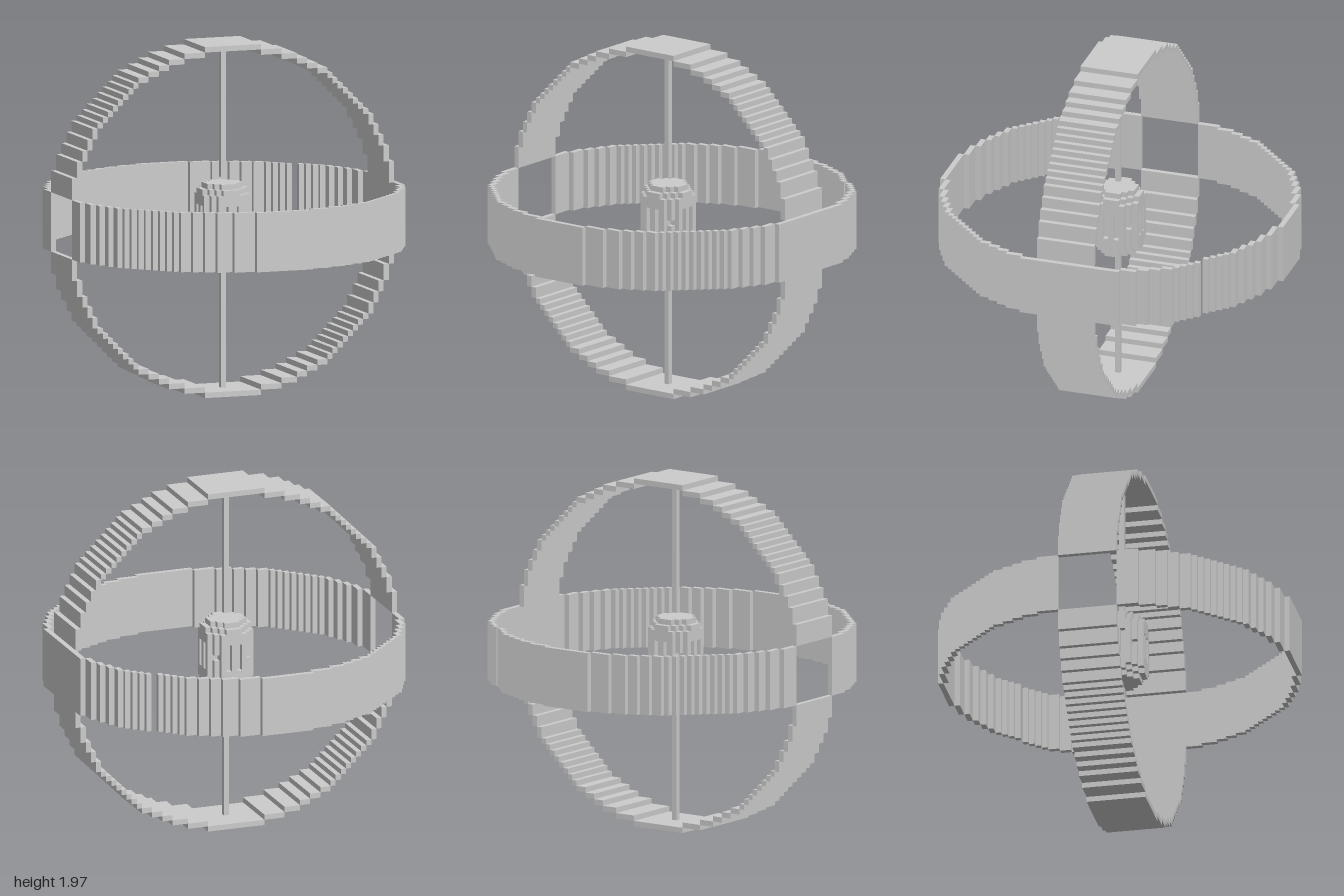
import * as THREE from 'three';

const V = 2 / 66; // size of one block

export function createModel() {
  const model = new THREE.Group();
  const mat = new THREE.MeshStandardMaterial({ color: 0xcccccc, flatShading: true });

  const part = (name) => {
    const g = new THREE.Group();
    g.name = name;
    model.add(g);
    return g;
  };

  // Box filling the blocks from corner a to corner b, both included
  const blocks = (group, name, a, b) => {
    const lo = a.map((n, i) => Math.min(n, b[i]));
    const size = a.map((n, i) => Math.abs(n - b[i]) + 1);
    const mesh = new THREE.Mesh(new THREE.BoxGeometry(...size.map((n) => n * V)), mat);
    mesh.position.set(...lo.map((n, i) => (n + size[i] / 2) * V));
    mesh.name = name;
    group.add(mesh);
  };

  // Stepped circle: straight runs [distance, first, last] of one octant
  const runs = [];
  for (let d = 31, from = 6; d >= 23; d--) {
    const to = Math.floor(Math.sqrt(1056 - d * d));
    runs.push([d, from, to]);
    from = to + 1;
  }

  // Upright ring around the z axis, open where it meets the level ring
  const upright = part('uprightRing');
  for (const s of [-1, 1]) {
    blocks(upright, 'ringEndPanel', [-6, 32 + 32 * s, -5], [4, 32 + 32 * s, 5]);
    for (const t of [-1, 1]) {
      for (const [d, a, b] of runs) {
        blocks(upright, 'ringStep', [-1 + a * s, 32 + d * t, -5], [-1 + b * s, 32 + d * t, 5]);
        blocks(upright, 'ringStep', [-1 + d * s, 32 + a * t, -5], [-1 + d * s, 32 + b * t, 5]);
      }
    }
  }

  // Level ring: two halves pulled one block apart along the diagonal
  const level = part('levelRing');
  const levelRun = (x0, z0, x1, z1) => {
    const farHalf = x0 > z0;
    const ox = farHalf && (x0 < 0 || x0 > Math.abs(z0)) ? 0 : -1;
    const oz = farHalf ? -1 : 0;
    blocks(level, 'ringStep', [x0 + ox, 27, z0 + oz], [x1 + ox, 37, z1 + oz]);
  };
  for (const s of [-1, 1]) {
    for (const t of [-1, 1]) {
      for (const [d, a, b] of runs) {
        levelRun(a * s, d * t, b * s, d * t);
        levelRun(d * s, a * t, d * s, b * t);
      }
    }
  }
  blocks(level, 'frontPanel', [-6, 27, 32], [4, 37, 32]);
  blocks(level, 'backPanel', [-5, 27, -33], [4, 37, -33]);
  blocks(level, 'sidePanel', [31, 27, -6], [31, 37, 4]);
  blocks(level, 'ringJoint', [22, 27, 22], [22, 37, 22]);
  blocks(level, 'ringJoint', [-23, 27, -23], [-23, 37, -23]);

  // Rods from the ring towards the core
  const rods = part('rods');
  blocks(rods, 'upperRod', [-1, 40, 0], [-1, 63, 0]);
  blocks(rods, 'lowerRod', [-1, 1, 0], [-1, 24, 0]);

  // Core, in blocks counted from its own centre
  const core = part('core');
  const coreBox = (name, x0, x1, y0, y1, z0, z1) =>
    blocks(core, name, [x0 - 1, y0 + 32, z0], [x1 - 1, y1 + 32, z1]);
  coreBox('coreBody', -3, 3, -5, 5, -2, 2);
  coreBox('coreBody', -2, 2, -5, 5, -3, 3);
  for (const s of [-1, 1]) {
    // Stepped end caps
    coreBox('coreCap', -3, 3, 6 * s, 6 * s, -1, 1);
    coreBox('coreCap', -2, 2, 6 * s, 6 * s, -2, 2);
    coreBox('coreCap', -1, 1, 6 * s, 6 * s, -3, 3);
    // Side faces: three ribs with slots between, joined at both ends
    for (const k of [-2, 0, 2]) {
      coreBox('coreRib', 4 * s, 4 * s, -4, 4, k, k);
      coreBox('coreRib', k, k, -4, 4, 4 * s, 4 * s);
    }
    for (const t of [-1, 1]) {
      coreBox('coreBand', 4 * s, 4 * s, 3 * t, 4 * t, -2, 2);
      coreBox('coreBand', -2, 2, 3 * t, 4 * t, 4 * s, 4 * s);
      coreBox('coreRim', 4 * s, 4 * s, 5 * t, 5 * t, -1, 1);
      coreBox('coreRim', -1, 1, 5 * t, 5 * t, 4 * s, 4 * s);
      // Corner posts, notched at mid height
      for (const h of [-1, 1]) coreBox('cornerPost', 3 * s, 3 * s, h, 4 * h, 3 * t, 3 * t);
    }
  }
  return model;
}
